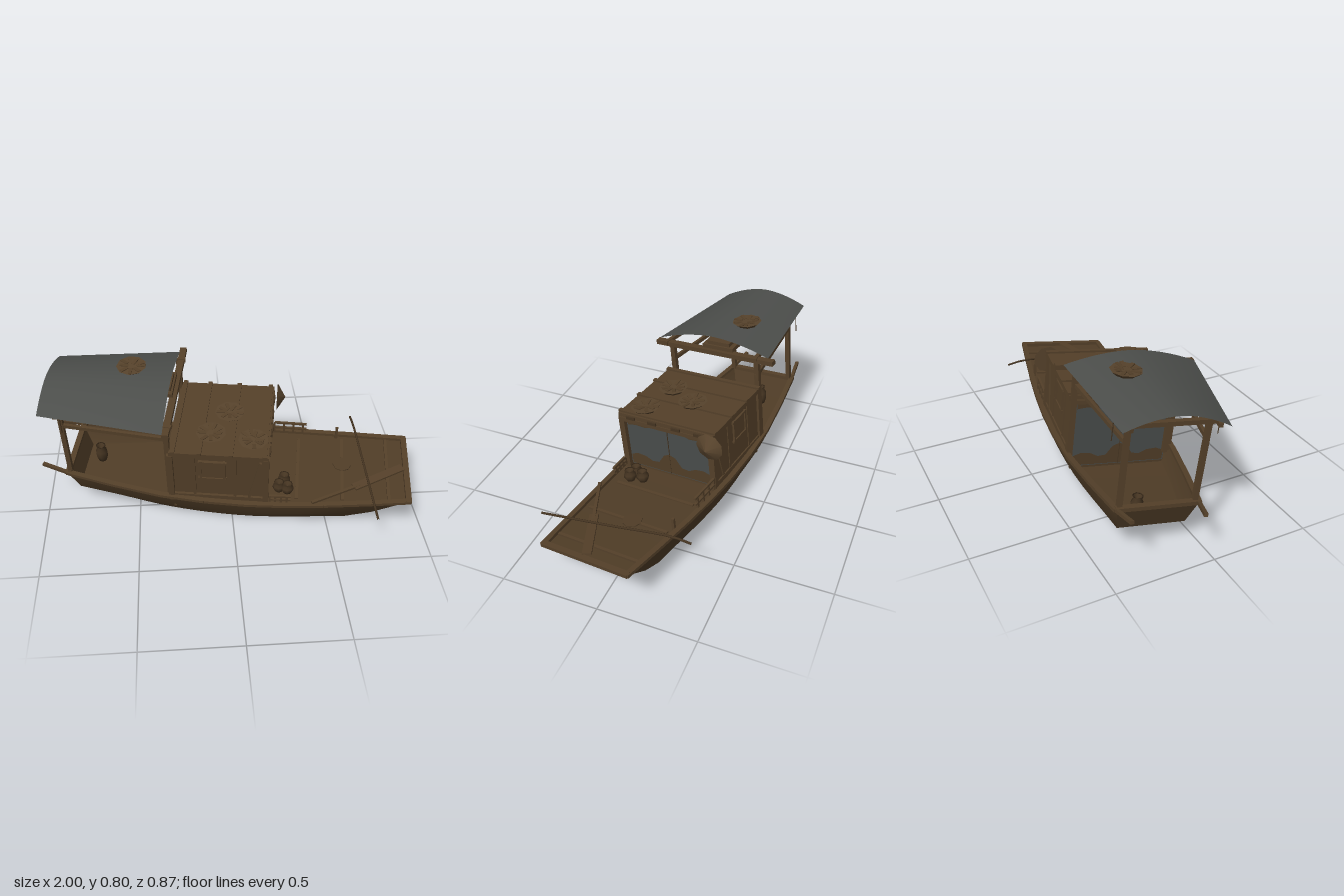
import * as THREE from 'three';
import { toCreasedNormals } from 'three/addons/utils/BufferGeometryUtils.js';

const V = (x, y, z) => new THREE.Vector3(x, y, z);
const material = (name, color, side = THREE.FrontSide) => {
  const m = new THREE.MeshStandardMaterial({ color, side });
  m.name = name;
  return m;
};

export function createModel() {
  const wood = material('brown wood', 0x544029);
  const hullWood = material('hull wood', 0x503d27, THREE.DoubleSide);
  const darkWood = material('dark wood', 0x453421);
  const cloth = material('grey cloth', 0x4c4e4b, THREE.DoubleSide);
  const curtainCloth = material('curtain blue grey', 0x484c4b);
  const straw = material('straw', 0x57432c);

  // The boat is built along x, then turned and heeled over a little
  const boat = new THREE.Group();
  boat.name = 'boat';
  const add = (name, geo, mat, x = 0, y = 0, z = 0, parent = boat) => {
    const mesh = new THREE.Mesh(geo, mat);
    mesh.name = name;
    mesh.position.set(x, y, z);
    parent.add(mesh);
    return mesh;
  };
  const box = (name, mat, w, h, d, x, y, z) => add(name, new THREE.BoxGeometry(w, h, d), mat, x, y, z);
  const beam = (name, mat, a, b, w, h = w) => {
    const mid = a.clone().lerp(b, 0.5);
    box(name, mat, w, h, a.distanceTo(b), mid.x, mid.y, mid.z).lookAt(b);
  };
  const tube = (name, mat, points, r) => {
    add(name, new THREE.TubeGeometry(new THREE.CatmullRomCurve3(points), 4 * (points.length - 1), r, 6), mat);
  };
  const surface = (points, index) => {
    const g = new THREE.BufferGeometry().setFromPoints(points);
    g.setIndex(index);
    return toCreasedNormals(g, 0.5);
  };

  // Hull: three waterlines, swept round both sides, bow and stern
  const rows = [
    [V(-0.64, 0.03, 0.13), V(-0.3, 0.016, 0.19), V(0.1, 0.007, 0.212), V(0.62, 0, 0.168)],
    [V(-0.82, 0.115, 0.165), V(-0.35, 0.1, 0.24), V(0.1, 0.095, 0.262), V(0.45, 0.09, 0.245), V(0.765, 0.085, 0.2)],
    [V(-0.87, 0.25, 0.195), V(-0.35, 0.205, 0.275), V(0.1, 0.19, 0.292), V(0.5, 0.2, 0.275), V(0.95, 0.225, 0.237)],
  ];
  const N = 16;
  const lines = rows.map((r) => new THREE.CatmullRomCurve3(r).getPoints(N));
  const mirrored = (p) => V(p.x, p.y, -p.z);
  const rings = lines.map((l) => [...l, ...l.map(mirrored).reverse()]);
  const C = rings[0].length, hullIndex = [];
  for (let j = 0; j < 2; j++) {
    for (let i = 0; i < C; i++) {
      const a = j * C + i, b = j * C + (i + 1) % C;
      hullIndex.push(a, b, b + C, a, b + C, a + C);
    }
  }
  add('hull', surface(rings.flat(), hullIndex), hullWood);

  // Floor along the middle line; raised deck from the cabin to the bow
  const deckBetween = (name, line, drop) => {
    const points = [], index = [];
    line.forEach((p, i) => {
      points.push(V(p.x, p.y - drop, p.z), V(p.x, p.y - drop, -p.z));
      if (i) index.push(2 * i - 2, 2 * i, 2 * i + 1, 2 * i - 2, 2 * i + 1, 2 * i - 1);
    });
    add(name, surface(points, index), hullWood);
  };
  const top = lines[2];
  deckBetween('floor', lines[1], 0);
  deckBetween('foredeck', [V(-0.29, 0.203, 0.278), ...top.filter((p) => p.x > -0.25)], 0.012);
  box('bulkhead', hullWood, 0.02, 0.08, 0.41, 0.2, 0.055, 0);
  box('cabinBackStep', hullWood, 0.014, 0.1, 0.5, -0.283, 0.147, 0);

  // Gunwales run past the stern as two handles
  for (const s of [1, -1]) {
    const path = [V(-1, 0.278, 0.17), ...top.filter((_, i) => i % 2 === 0)];
    for (let i = 0; i < path.length - 1; i++) {
      const [a, b] = [path[i], path[i + 1]].map((p) => V(p.x, p.y, p.z * s));
      beam('gunwale', wood, a, b, i ? 0.028 : 0.018, 0.016);
    }
  }
  box('bowPlank', wood, 0.03, 0.018, 0.49, 0.94, 0.224, 0);
  box('sternPlank', wood, 0.03, 0.02, 0.4, -0.86, 0.25, 0);
  for (const [x, y] of [[0.36, 0.183], [0.6, 0.195], [0.84, 0.21]]) {
    box('deckBatten', wood, 0.016, 0.014, 0.46, x, y, 0);
  }
  add('deckHatch', new THREE.CylinderGeometry(0.05, 0.05, 0.006, 8), hullWood, 0.6, 0.201, -0.03);

  // Cabin
  box('cabinWalls', wood, 0.47, 0.31, 0.525, -0.05, 0.335, -0.003);
  box('cabinRoof', wood, 0.505, 0.026, 0.56, -0.042, 0.503, -0.004);
  for (const x of [-0.275, -0.14, 0.02, 0.19]) box('roofBatten', wood, 0.022, 0.012, 0.57, x, 0.52, -0.004);
  for (const z of [-0.2, -0.07, 0.07, 0.2]) box('roofBlock', darkWood, 0.014, 0.016, 0.05, 0.212, 0.5, z);
  box('frontLintel', wood, 0.03, 0.022, 0.54, 0.2, 0.482, -0.003);
  box('backLintel', wood, 0.03, 0.022, 0.54, -0.29, 0.482, -0.003);
  for (const s of [1, -1]) {
    for (const x of [0.198, -0.292]) box('cornerPost', wood, 0.03, 0.32, 0.032, x, 0.335, s * 0.262);
    for (const x of [-0.17, 0.04]) box('wallBatten', wood, 0.014, 0.29, 0.012, x, 0.34, s * 0.264);
    beam('wallBrace', wood, V(0.11, 0.2, s * 0.266), V(0.17, 0.47, s * 0.266), 0.012);
    box('wallSill', wood, 0.5, 0.02, 0.014, -0.05, 0.21, s * 0.266);
    // Shuttered window with a frame whose bars overrun the corners
    box('windowShutter', wood, 0.11, 0.1, 0.008, -0.075, 0.4, s * 0.265);
    for (const d of [-1, 1]) {
      box('windowBar', wood, 0.145, 0.012, 0.016, -0.075, 0.4 + d * 0.056, s * 0.268);
      box('windowPost', wood, 0.012, 0.13, 0.016, -0.075 + d * 0.06, 0.4, s * 0.268);
    }
  }

  // Curtains at both ends, with worn brown edges; the back one hangs to the floor
  const wornEdge = (points) => new THREE.ShapeGeometry(new THREE.Shape(points.map(([x, y]) => new THREE.Vector2(x, y))));
  const lowerEdge = wornEdge([[0, 0], [0.24, 0], [0.24, 0.055], [0.2, 0.07], [0.15, 0.065], [0.11, 0.045], [0.07, 0.05], [0.035, 0.1], [0, 0.115]]);
  const upperEdge = wornEdge([[0, 0], [0.03, -0.012], [0.09, -0.014], [0.13, -0.028], [0.19, -0.024], [0.24, -0.032], [0.24, 0]]);
  for (const [x, d, low] of [[0.187, 1, 0.195], [-0.293, -1, 0.115]]) {
    const h = 0.475 - low, y = low + h / 2;
    for (const s of [1, -1]) {
      box('curtain', curtainCloth, 0.006, h, 0.244, x, y, s * 0.124);
      for (const [edge, edgeY] of [[lowerEdge, low + 0.005], [upperEdge, 0.473]]) {
        add('curtainWornEdge', edge, hullWood, x + d * 0.005, edgeY, 0).rotation.y = s * Math.PI / 2;
      }
    }
    box('curtainSeam', darkWood, 0.004, h, 0.003, x + d * 0.004, y, 0);
  }

  // Canopy frame over the aft deck
  for (const s of [1, -1]) {
    const frontZ = s * 0.255 - 0.01;
    beam('rearPost', wood, V(-0.85, 0.25, s * 0.18), V(-0.85, 0.68, s * 0.185), 0.024);
    beam('frontPost', wood, V(-0.305, 0.17, frontZ), V(-0.305, 0.68, frontZ), 0.026);
    beam('sideRail', wood, V(-0.86, 0.58, s * 0.183), V(-0.29, 0.58, frontZ), 0.016, 0.02);
    beam('sideBeam', wood, V(-0.93, 0.686, s * 0.2), V(-0.27, 0.682, s * 0.27), 0.02);
    tube('hangingCord', darkWood, [V(-0.83, 0.69, s * 0.245), V(-0.83, 0.585, s * 0.245)], 0.0025);
  }
  box('frontCrossBeam', wood, 0.035, 0.025, 0.7, -0.293, 0.676, -0.018);
  box('rearCrossBeam', wood, 0.025, 0.022, 0.46, -0.86, 0.672, 0);
  box('lowerStackedPlank', wood, 0.09, 0.022, 0.18, -0.34, 0.698, -0.04);
  box('upperStackedPlank', wood, 0.07, 0.02, 0.13, -0.34, 0.719, -0.04);

  // Canopy: a shallow arch, wider towards the cabin
  const canopy = new THREE.PlaneGeometry(1, 1, 8, 14), cp = canopy.attributes.position;
  for (let i = 0; i < cp.count; i++) {
    const u = cp.getX(i) + 0.5, w = -cp.getY(i) * 2;
    cp.setXYZ(i, -0.947 + u * 0.64, 0.754 - 0.066 * Math.pow(Math.abs(w), 1.8), w * (0.243 + u * 0.087));
  }
  canopy.computeVertexNormals();
  add('canopy', canopy, cloth);

  // Round trays of dried leaves on the canopy and the cabin roof
  let seed = 7;
  const rnd = () => (seed = (seed * 16807) % 2147483647) / 2147483647;
  for (const [x, y, z] of [[-0.525, 0.752, -0.1], [-0.012, 0.525, -0.04], [-0.093, 0.525, 0.127], [0.125, 0.525, 0.16]]) {
    const tray = new THREE.Group();
    tray.name = 'leafTray';
    tray.position.set(x, y, z);
    boat.add(tray);
    const dish = toCreasedNormals(new THREE.CylinderGeometry(0.078, 0.056, 0.02, 9), 0.3);
    add('tray', dish, straw, 0, 0, 0, tray);
    for (let i = 0; i < 9; i++) {
      const a = i * 0.7 + rnd() * 0.3, r = 0.03 + rnd() * 0.025;
      const leaf = add('leaf', new THREE.BoxGeometry(0.045, 0.004, 0.018), wood, Math.cos(a) * r, 0.012, Math.sin(a) * r, tray);
      leaf.rotation.set(rnd() * 0.3 - 0.15, -a, 0.12);
    }
  }

  // Conical hat hung on the cabin front
  add('hat', new THREE.ConeGeometry(0.074, 0.045, 9), straw, 0.25, 0.46, -0.268).rotation.z = -Math.PI / 2;

  // Low rails beside the cabin front
  for (const [s, x0, x1, h] of [[-1, 0.22, 0.38, 0.07], [1, 0.22, 0.31, 0.045]]) {
    for (const k of [0.5, 1]) {
      beam('lowRail', wood, V(x0, 0.195 + h * k, s * 0.272), V(x1 + 0.02, 0.195 + h * k, s * 0.268), 0.012, 0.01);
    }
    for (let i = 0; i < 4; i++) {
      box('lowRailPost', wood, 0.011, h, 0.011, x0 + (x1 - x0) * i / 3, 0.195 + h / 2, s * 0.27);
    }
  }

  // Jars on the foredeck and a taller one on the aft floor
  const jar = new THREE.LatheGeometry([[0, 0], [0.022, 0], [0.033, 0.02], [0.032, 0.038], [0.02, 0.052], [0.027, 0.06], [0.02, 0.058], [0, 0.04]]
    .map(([x, y]) => new THREE.Vector2(x, y)), 8);
  for (const [x, z] of [[0.29, 0.115], [0.31, 0.18], [0.265, 0.17]]) add('jar', jar, darkWood, x, 0.184, z);
  add('sternJar', jar, darkWood, -0.74, 0.116, -0.05).scale.set(1, 1.8, 1);

  // Punt pole with a drooping tip, paddle and mooring post on the bow
  tube('puntPole', darkWood, [V(0.776, 0.236, 0.386), V(0.715, 0.242, 0.01), V(0.663, 0.248, -0.3), V(0.648, 0.228, -0.395)], 0.006);
  beam('paddleHandle', wood, V(0.44, 0.218, 0.28), V(0.7, 0.219, 0.13), 0.016, 0.012);
  beam('paddleBlade', wood, V(0.66, 0.218, 0.153), V(0.92, 0.234, 0), 0.045, 0.01);
  box('mooringPost', wood, 0.014, 0.075, 0.014, 0.57, 0.23, -0.25);

  boat.rotation.set(0.11, -0.162, 0, 'YXZ');
  boat.position.set(0.016, 0.018, -0.099);
  const model = new THREE.Group();
  model.name = 'riverBoat';
  model.add(boat);
  return model;
}
